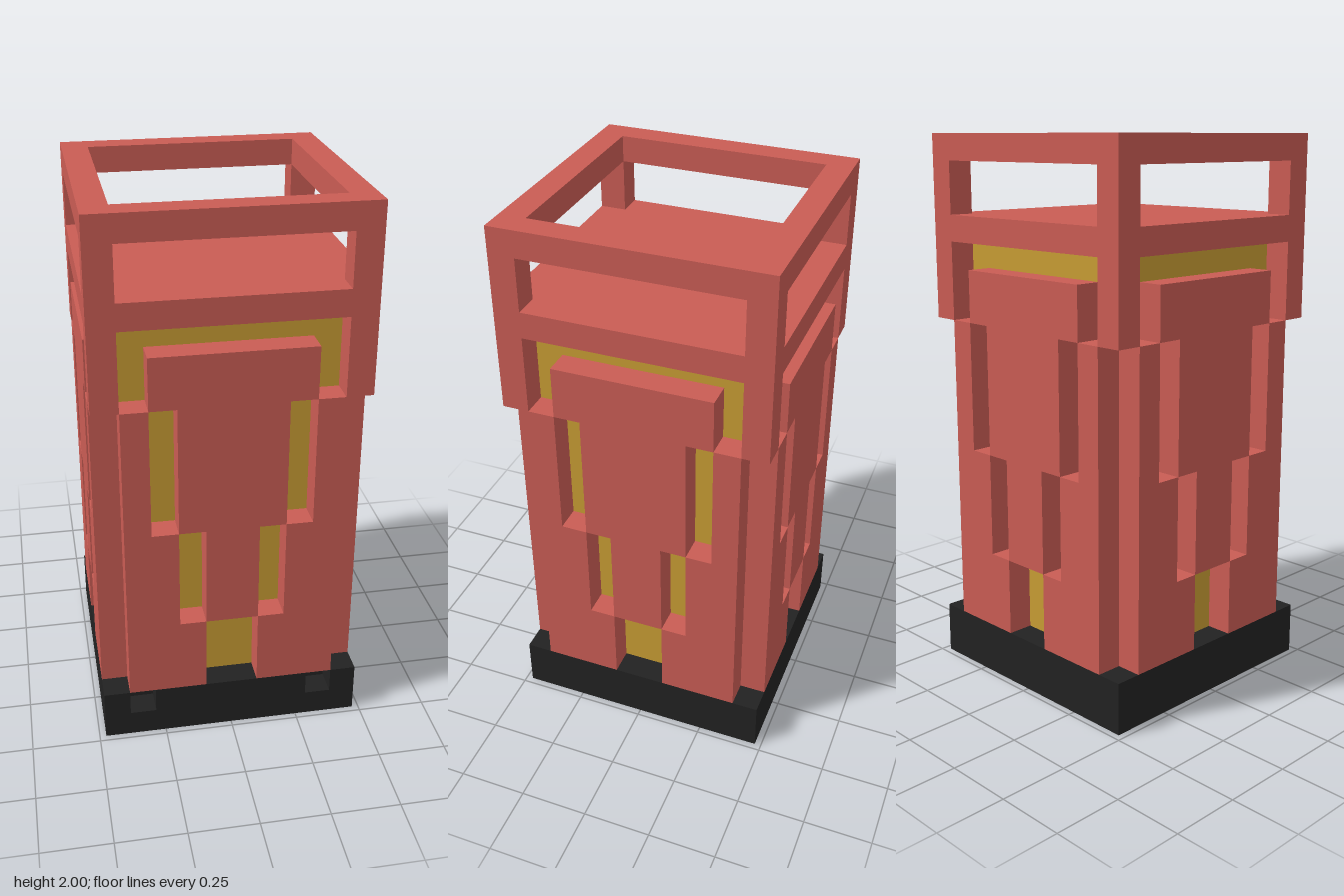
import * as THREE from 'three';

const U = 2 / 21; // one grid unit of the blocky design

const red = new THREE.MeshStandardMaterial({ color: 0xc95c54 });
red.name = 'coral red';
const yellow = new THREE.MeshStandardMaterial({ color: 0xc79c33 });
yellow.name = 'mustard yellow';
const black = new THREE.MeshStandardMaterial({ color: 0x222222 });
black.name = 'charcoal black';

// Box from min to max corner, in grid units
function block(parent, name, material, [x0, y0, z0], [x1, y1, z1]) {
  const geometry = new THREE.BoxGeometry((x1 - x0) * U, (y1 - y0) * U, (z1 - z0) * U);
  geometry.translate((x0 + x1) / 2 * U, (y0 + y1) / 2 * U, (z0 + z1) / 2 * U);
  const mesh = new THREE.Mesh(geometry, material);
  mesh.name = name;
  parent.add(mesh);
}

const outline = (points) => new THREE.Shape(points.map(([x, y]) => new THREE.Vector2(x * U, y * U)));

// Slab one unit thick
function slab(parent, name, shape) {
  const geometry = new THREE.ExtrudeGeometry(shape, { depth: U, bevelEnabled: false });
  const mesh = new THREE.Mesh(geometry, red);
  mesh.name = name;
  parent.add(mesh);
  return mesh;
}

export function createModel() {
  const model = new THREE.Group();
  model.name = 'lantern';

  // Base with two small notches along the front edge
  const base = new THREE.Group();
  base.name = 'base';
  block(base, 'baseLower', black, [-5, 0, -5], [5, 1, 5]);
  block(base, 'baseUpper', black, [-5, 1, -5], [5, 2, 4]);
  for (const [a, b] of [[-5, -4], [-3, 3], [4, 5]]) {
    block(base, 'baseFrontEdge', black, [a, 1, 4], [b, 2, 5]);
  }
  model.add(base);

  // Core seen through the channels between the panels
  block(model, 'core', yellow, [-4, 2, -4], [4, 17, 4]);

  // Stepped panels on all four sides
  const half = [[1, 5], [1, 9], [2, 9], [2, 14], [3, 14], [3, 16]];
  const mirrored = half.map(([x, y]) => [-x, y]).reverse();
  const sidePanel = [[1, 2], [4, 2], [4, 14], [3, 14], [3, 9], [2, 9], [2, 5], [1, 5]];
  for (let i = 0; i < 4; i++) {
    const side = new THREE.Group();
    side.name = 'sidePanels';
    slab(side, 'centrePanel', outline([...half, ...mirrored])).position.z = 4 * U;
    for (const s of [-1, 1]) {
      slab(side, 'outerPanel', outline(sidePanel.map(([x, y]) => [s * x, y]))).position.z = 4 * U;
    }
    side.rotation.y = i * Math.PI / 2;
    model.add(side);
  }

  // Cap: corner posts, deck and open top frame
  const cap = new THREE.Group();
  cap.name = 'cap';
  block(cap, 'deck', red, [-5, 17, -5], [5, 18, 5]);
  for (const x of [-5, 4]) {
    for (const z of [-5, 4]) {
      block(cap, 'lowerPost', red, [x, 14, z], [x + 1, 17, z + 1]);
      block(cap, 'upperPost', red, [x, 18, z], [x + 1, 20, z + 1]);
    }
  }
  const square = (r) => outline([[-r, -r], [r, -r], [r, r], [-r, r]]);
  const frame = square(5);
  frame.holes.push(square(4));
  const topFrame = slab(cap, 'topFrame', frame);
  topFrame.rotation.x = -Math.PI / 2;
  topFrame.position.y = 20 * U;
  model.add(cap);

  return model;
}
